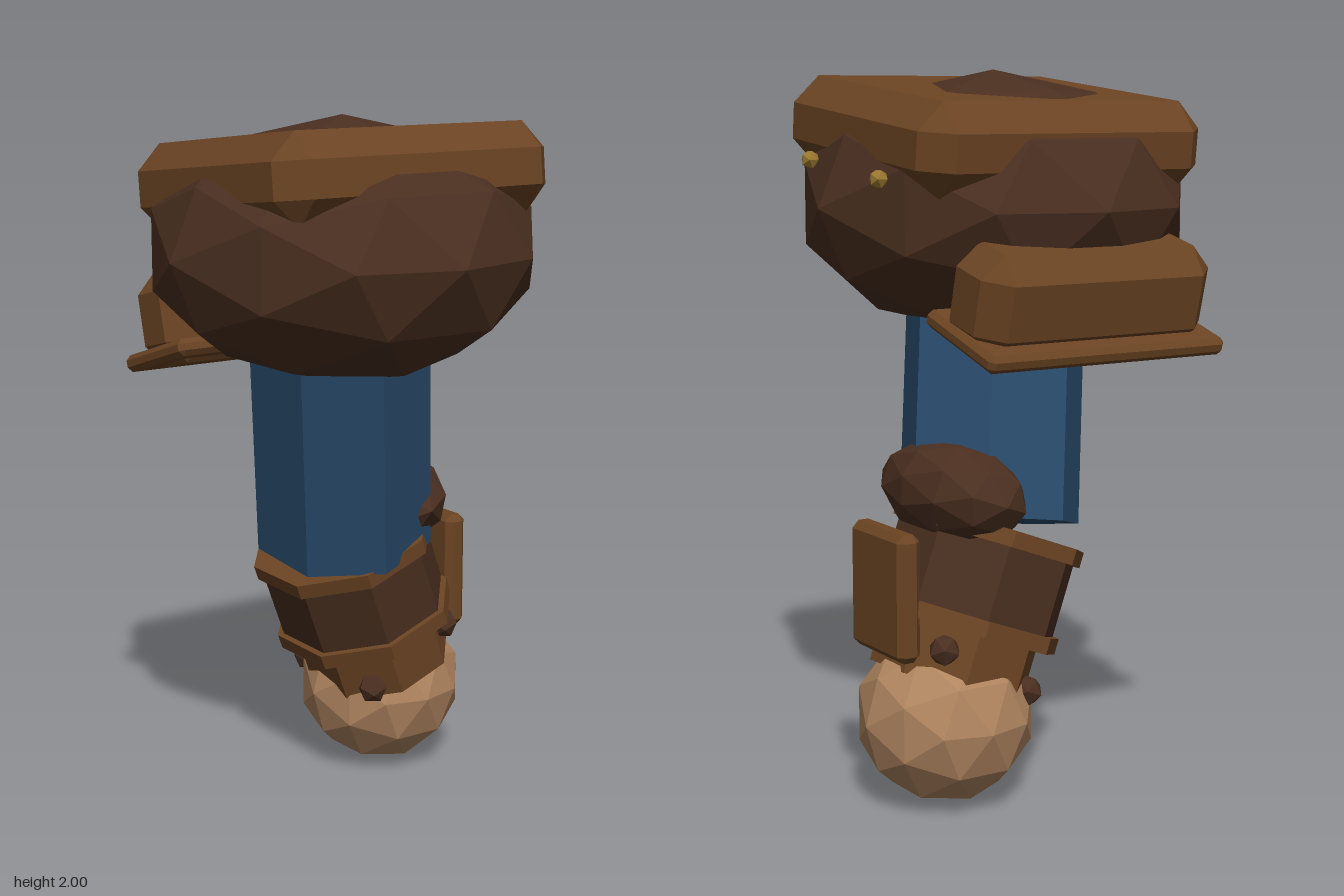
import * as THREE from 'three';
import { ConvexGeometry } from 'three/addons/geometries/ConvexGeometry.js';

const paint = (color) => new THREE.MeshStandardMaterial({ color, flatShading: true });
const LEATHER = paint(0x6b4423), DARK = paint(0x4a2f20), CLOTH = paint(0x2a4d6e);
const SKIN = paint(0xb08560), BRASS = paint(0x9a7830);
const deg = THREE.MathUtils.degToRad;

// Box with every edge cut off by a flat chamfer
function chamferBox(w, h, d, c) {
  const pts = [];
  for (const sx of [-1, 1]) for (const sy of [-1, 1]) for (const sz of [-1, 1]) {
    const x = w / 2, y = h / 2, z = d / 2;
    pts.push(new THREE.Vector3(sx * x, sy * (y - c), sz * (z - c)));
    pts.push(new THREE.Vector3(sx * (x - c), sy * y, sz * (z - c)));
    pts.push(new THREE.Vector3(sx * (x - c), sy * (y - c), sz * z));
  }
  return new ConvexGeometry(pts);
}

// Faceted ball stretched to the given radii
const ball = (rx, ry, rz, detail = 1) => new THREE.IcosahedronGeometry(1, detail).scale(rx, ry, rz);

function createModel() {
  const model = new THREE.Group();
  model.name = 'armouredArm';

  const add = (parent, name, geometry, material, x, y, z) => {
    const mesh = new THREE.Mesh(geometry, material);
    mesh.name = name;
    mesh.position.set(x, y, z);
    parent.add(mesh);
    return mesh;
  };

  // Shoulder with its tilted top plate
  add(model, 'shoulder', ball(0.555, 0.37, 0.555), DARK, 0.015, 1.63, 0);
  const plate = add(model, 'shoulderPlate', chamferBox(0.83, 0.25, 0.9, 0.075), LEATHER, -0.012, 1.825, -0.015);
  plate.rotation.z = deg(6);

  // Rivets behind the plate
  for (const [x, y] of [[-0.2, 1.715], [0.18, 1.755]])
    add(model, 'rivet', ball(0.027, 0.027, 0.027, 0), BRASS, x, y, -0.49);

  // Side guard with its rim
  const guard = add(model, 'sideGuard', chamferBox(0.25, 0.28, 0.73, 0.065), LEATHER, -0.42, 1.41, 0);
  guard.rotation.z = deg(14);
  const rim = add(model, 'sideGuardRim', chamferBox(0.34, 0.05, 0.755, 0.015), LEATHER, -0.4, 1.305, 0);
  rim.rotation.z = deg(17);

  // Upper arm: a seven-sided prism leaning from shoulder to elbow
  const top = new THREE.Vector3(0.048, 1.65, 0.04);
  const bottom = new THREE.Vector3(-0.125, 0.755, -0.105);
  const axis = top.clone().sub(bottom);
  const arm = add(model, 'upperArm', new THREE.CylinderGeometry(0.26, 0.26, axis.length(), 7, 1, false, deg(31)), CLOTH, 0, 0, 0);
  arm.position.copy(top).lerp(bottom, 0.5);
  arm.quaternion.setFromUnitVectors(new THREE.Vector3(0, 1, 0), axis.normalize());

  // Elbow pad
  const elbow = add(model, 'elbowPad', ball(0.28, 0.145, 0.17), DARK, -0.16, 0.86, -0.245);
  elbow.rotation.x = deg(20);

  // Forearm: cuff, bands, sleeve and studs share one tilted frame
  const forearm = new THREE.Group();
  forearm.name = 'forearm';
  forearm.position.set(-0.165, 0.61, -0.17);
  forearm.rotation.set(deg(21), 0, deg(-2));
  model.add(forearm);
  const ring = (name, r, h, y, material) =>
    add(forearm, name, new THREE.CylinderGeometry(r, r, h, 8, 1, false, Math.PI / 8).scale(1, 1, 0.93), material, 0, y, 0);
  ring('cuff', 0.272, 0.27, 0, DARK);
  ring('upperBand', 0.292, 0.045, 0.125, LEATHER);
  ring('lowerBand', 0.292, 0.045, -0.125, LEATHER);
  ring('sleeve', 0.235, 0.24, -0.18, LEATHER);
  for (const sx of [-1, 1]) for (const sz of [-1, 1])
    add(forearm, 'stud', ball(0.045, 0.045, 0.045, 0), DARK, sx * 0.17, -0.235 - 0.025 * sz, sz * 0.15);

  // Upright plate on the back of the cuff
  add(model, 'backPlate', chamferBox(0.28, 0.35, 0.07, 0.02), LEATHER, -0.165, 0.61, -0.46);

  // Fist
  add(model, 'fist', ball(0.247, 0.247, 0.25), SKIN, -0.2, 0.25, -0.295);

  return model;
}

export { createModel };
